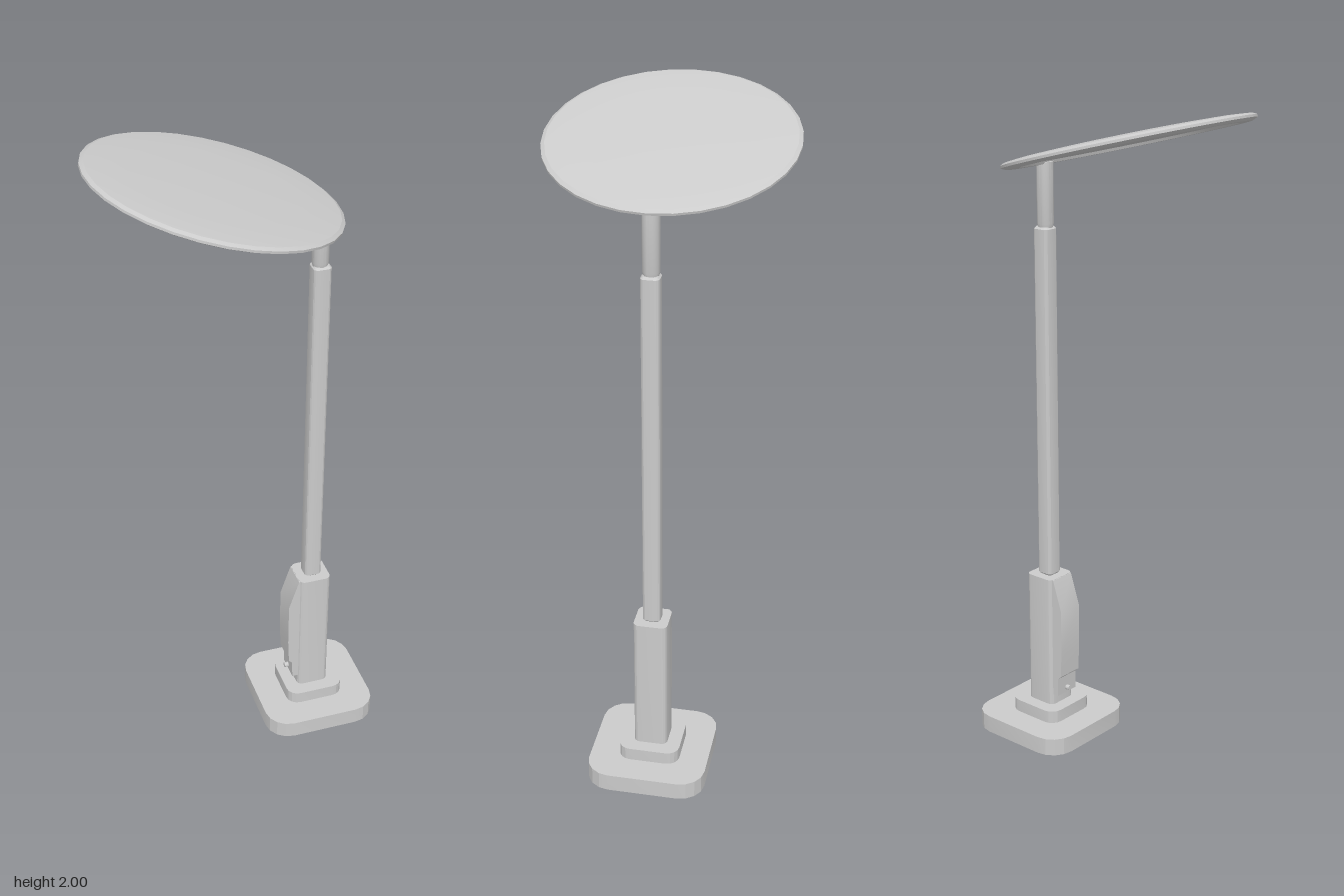
import * as THREE from 'three';
import { toCreasedNormals } from 'three/addons/utils/BufferGeometryUtils.js';

const material = new THREE.MeshStandardMaterial({ color: 0xcccccc });
const AXIS_X = 0.24, AXIS_Z = -0.005;

export function createModel() {
  const model = new THREE.Group();

  const add = (name, geometry, x, y, z, crease = 0.5) => {
    const mesh = new THREE.Mesh(toCreasedNormals(geometry, crease), material);
    mesh.name = name;
    mesh.position.set(x, y, z);
    model.add(mesh);
    return mesh;
  };

  // Upright block with a square plan and faceted round corners
  const block = (name, size, radius, y0, y1, bevel = 0) => {
    const h = size / 2 - bevel, r = radius - bevel, k = h - r;
    const plan = new THREE.Shape();
    plan.absarc(k, k, r, 0, Math.PI / 2);
    plan.absarc(-k, k, r, Math.PI / 2, Math.PI);
    plan.absarc(-k, -k, r, Math.PI, Math.PI * 1.5);
    plan.absarc(k, -k, r, Math.PI * 1.5, Math.PI * 2);
    const geometry = new THREE.ExtrudeGeometry(plan, {
      depth: y1 - y0 - 2 * bevel, curveSegments: 2,
      bevelEnabled: bevel > 0, bevelSize: bevel, bevelThickness: bevel, bevelSegments: 1,
    });
    geometry.rotateX(-Math.PI / 2);
    return add(name, geometry, AXIS_X, y0 + bevel, AXIS_Z, 0.2);
  };

  // Stepped foot, lower housing and pole
  block('base', 0.36, 0.075, 0, 0.055);
  block('plinth', 0.185, 0.037, 0.055, 0.095);
  block('housing', 0.102, 0.018, 0.095, 0.525);
  block('pole', 0.054, 0.014, 0.525, 1.625, 0.006);

  // Sloped cover on the inner side of the housing
  const side = new THREE.Shape([
    [0.2, 0.13], [0.2, 0.524], [0.187, 0.524], [0.155, 0.425],
    [0.155, 0.28], [0.159, 0.2], [0.17, 0.19], [0.172, 0.13],
  ].map(([x, y]) => new THREE.Vector2(x, y)));
  add('housingCover', new THREE.ExtrudeGeometry(side, { depth: 0.084, bevelEnabled: false }),
    0, 0, AXIS_Z - 0.042);

  // Small button under the cover
  const button = new THREE.CylinderGeometry(0.008, 0.008, 0.02, 12);
  button.rotateZ(Math.PI / 2);
  add('button', button, 0.168, 0.147, AXIS_Z);

  // Round neck with a tapered lower end
  const neck = [[0, 1.615], [0.02, 1.615], [0.025, 1.635], [0.025, 1.815], [0, 1.815]];
  add('neck', new THREE.LatheGeometry(neck.map(([r, y]) => new THREE.Vector2(r, y)), 20),
    AXIS_X - 0.002, 0, AXIS_Z);

  // Tilted lamp head: recessed underside, thin rim, gently domed top
  const profile = [
    [0, -0.004], [0.305, -0.004], [0.31, -0.012], [0.346, -0.012], [0.361, -0.005],
    [0.361, 0.002], [0.35, 0.008], [0.31, 0.012], [0.24, 0.015], [0.12, 0.018], [0, 0.019],
  ];
  const head = add('lampHead',
    new THREE.LatheGeometry(profile.map(([r, y]) => new THREE.Vector2(r, y)), 32),
    -0.071, 1.9, 0, 0.4);
  head.rotation.z = -0.258;

  return model;
}
